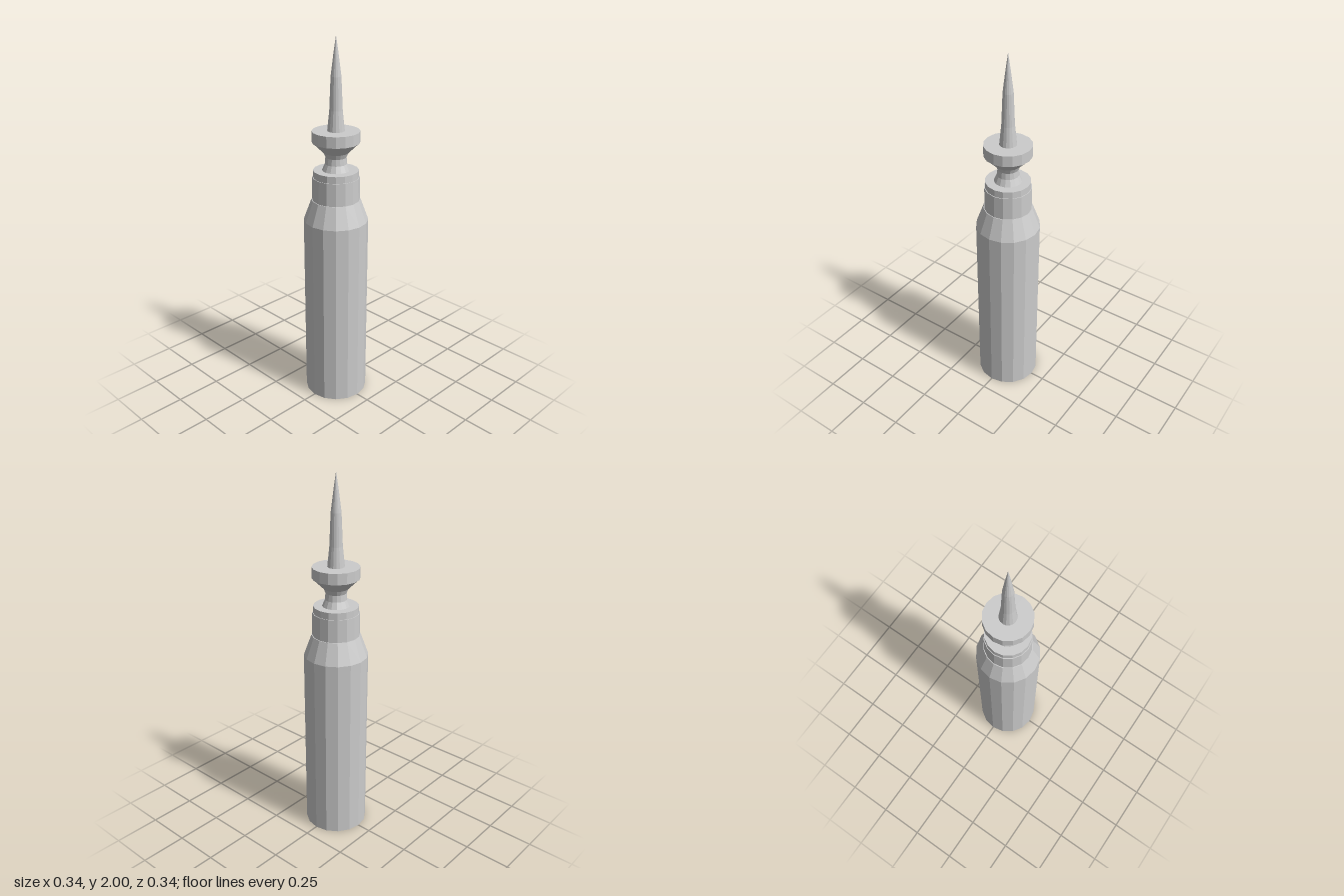
import * as THREE from 'three';

const SIDES = 16;

export function createModel() {
  const model = new THREE.Group();
  const material = new THREE.MeshStandardMaterial({ color: 0xcccccc, flatShading: true });

  // Faceted turned part from [radius, height] points, bottom to top
  function turned(name, profile) {
    const points = profile.map(([r, y]) => new THREE.Vector2(r, y));
    const mesh = new THREE.Mesh(new THREE.LatheGeometry(points, SIDES), material);
    mesh.name = name;
    model.add(mesh);
  }

  // Main cylinder with sloped shoulder
  turned('body', [[0, 0], [0.172, 0], [0.172, 1.04], [0.13, 1.155], [0, 1.155]]);

  // Straight neck and the thin collar that closes it
  turned('neck', [[0.126, 1.155], [0.124, 1.278], [0, 1.278]]);
  turned('collar', [[0.12, 1.278], [0.12, 1.315], [0, 1.315]]);

  // Narrow waist flaring up into the flange
  turned('waist', [
    [0.073, 1.315], [0.058, 1.35], [0.055, 1.385], [0.066, 1.41], [0.122, 1.465],
  ]);
  turned('flange', [[0, 1.465], [0.125, 1.465], [0.125, 1.524], [0, 1.524]]);

  // Long needle with a slightly spread foot
  turned('spike', [
    [0.045, 1.524], [0.034, 1.63], [0.027, 1.8], [0.013, 1.91], [0, 2],
  ]);

  return model;
}
